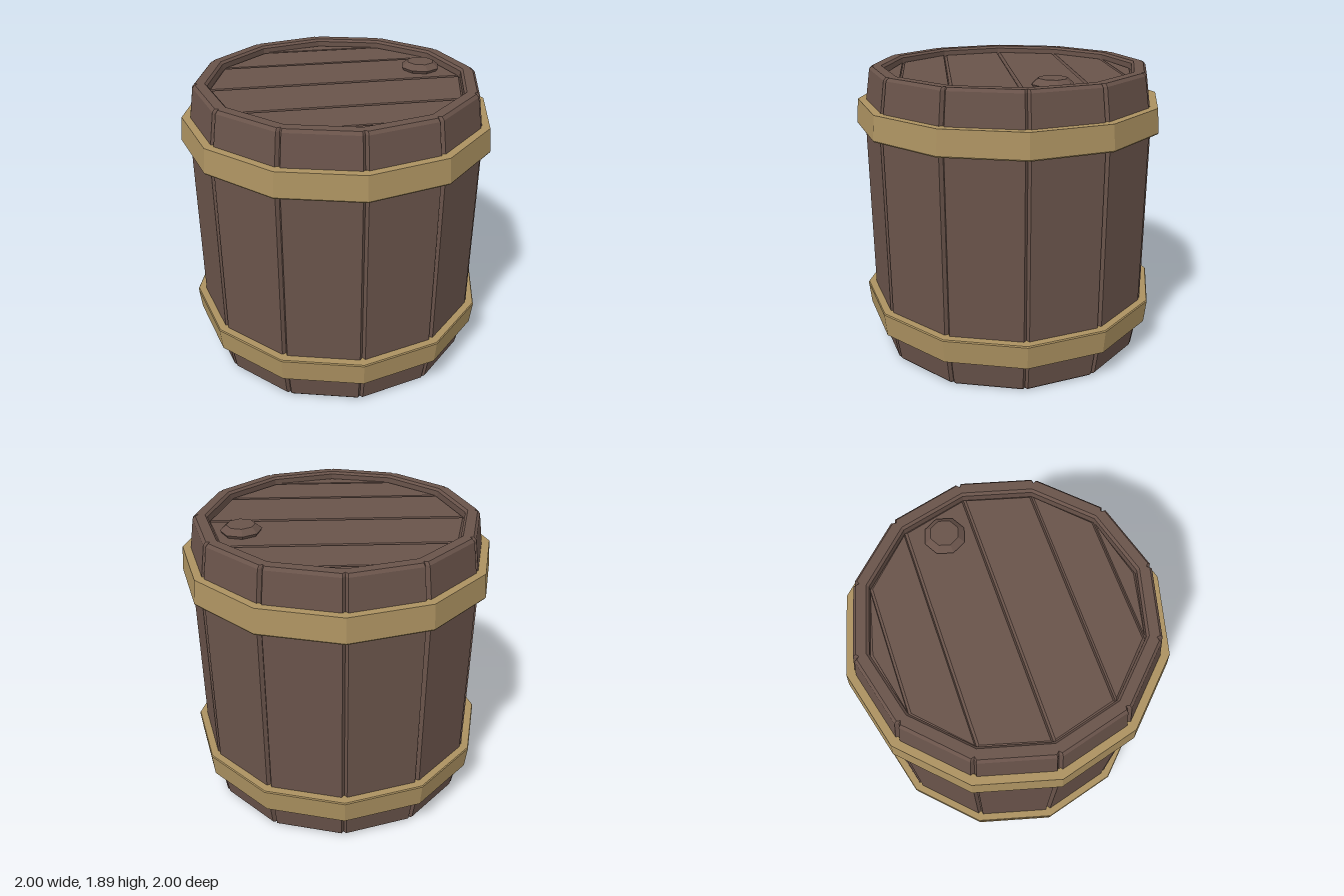
import * as THREE from 'three';

const SIDES = 12;
const HEIGHT = 1.88;
const LID_R = 0.81;

const wood = new THREE.MeshStandardMaterial({ color: 0x69534a });
wood.name = 'dark wood';
const brass = new THREE.MeshStandardMaterial({ color: 0xab9160 });
brass.name = 'dull brass';

function mesh(name, geometry, material) {
  const m = new THREE.Mesh(geometry, material);
  m.name = name;
  return m;
}

// Facet a geometry so every face has its own normal
function faceted(geometry) {
  const g = geometry.index ? geometry.toNonIndexed() : geometry;
  g.computeVertexNormals();
  return g;
}

function lathe(points, sides) {
  return faceted(new THREE.LatheGeometry(points.map(([r, y]) => new THREE.Vector2(r, y)), sides));
}

// One ring of staves: flat panels with a V groove at every corner
function staveRing([r, y, groove]) {
  const corner = (i, radius) => {
    const a = (i / SIDES) * Math.PI * 2;
    return new THREE.Vector3(Math.sin(a) * radius, y, Math.cos(a) * radius);
  };
  const ring = [];
  for (let i = 0; i < SIDES; i++) {
    const p = corner(i, r), q = corner(i + 1, r);
    ring.push(corner(i, r - groove), p.clone().lerp(q, 0.035), p.clone().lerp(q, 0.965));
  }
  return ring;
}

function staveGeometry(profile) {
  const rings = profile.map(staveRing);
  const n = SIDES * 3;
  const positions = [];
  for (let j = 0; j < rings.length - 1; j++) {
    for (let i = 0; i < n; i++) {
      const k = (i + 1) % n;
      const a = rings[j][i], b = rings[j][k], c = rings[j + 1][k], d = rings[j + 1][i];
      for (const v of [a, b, c, a, c, d]) positions.push(v.x, v.y, v.z);
    }
  }
  const g = new THREE.BufferGeometry();
  g.setAttribute('position', new THREE.Float32BufferAttribute(positions, 3));
  return faceted(g);
}

// Round lid of six bevelled planks, split at the corners of the twelve-sided rim
function createLid(name) {
  const lid = new THREE.Group();
  lid.name = name;
  const corner = (i) => {
    const a = (i / SIDES) * Math.PI * 2;
    return [Math.sin(a) * LID_R, Math.cos(a) * LID_R];
  };
  for (let i = 0; i < SIDES / 2; i++) {
    const [x0, y0] = corner(i), [x1, y1] = corner(i + 1);
    const points = [[-x0, y0], [-x1, y1], [x1, y1], [x0, y0]]
      .map(([x, y]) => new THREE.Vector2(x, y))
      .filter((p, k, all) => k === 0 || p.distanceTo(all[k - 1]) > 1e-4);
    if (points[0].distanceTo(points[points.length - 1]) < 1e-4) points.pop();
    const g = new THREE.ExtrudeGeometry(new THREE.Shape(points), {
      depth: 0.02, bevelThickness: 0.015, bevelSize: 0.015, bevelOffset: -0.015, bevelSegments: 1,
    });
    g.rotateX(-Math.PI / 2);
    g.translate(0, HEIGHT - 0.08, 0);
    lid.add(mesh('lidPlank', g, wood));
  }
  return lid;
}

export function createModel() {
  const barrel = new THREE.Group();
  barrel.name = 'barrel';

  // Staves: lower half of the profile, then the same mirrored upwards
  const half = [
    [0.81, 0.1, 0], [0.81, 0.015, 0], [0.825, 0, 0], [0.888, 0, 0.02],
    [0.905, 0.018, 0.025], [0.948, 0.29, 0.025],
  ];
  const upper = half.map(([r, y, g]) => [r, HEIGHT - y, g]).reverse();
  barrel.add(mesh('staves', staveGeometry([...half, ...upper]), wood));

  // Hoops, wider towards the middle of the barrel
  const hoop = [[0.92, 1.51], [0.995, 1.51], [1, 1.518], [0.985, 1.67], [0.92, 1.67], [0.92, 1.51]];
  barrel.add(mesh('upperHoop', lathe(hoop, SIDES), brass));
  const lower = hoop.map(([r, y]) => [r, HEIGHT - y]).reverse();
  barrel.add(mesh('lowerHoop', lathe(lower, SIDES), brass));

  // Recessed lids at both ends
  barrel.add(createLid('topLid'));
  const bottom = createLid('bottomLid');
  bottom.rotation.x = Math.PI;
  bottom.position.y = HEIGHT;
  barrel.add(bottom);

  // Bung in the top lid
  const bung = mesh('bung', lathe([[0.105, 1.82], [0.128, 1.855], [0.088, 1.888], [0, 1.888]], 8), wood);
  bung.position.set(0.59, 0, -0.185);
  bung.rotation.y = 0.12;
  barrel.add(bung);

  return barrel;
}
